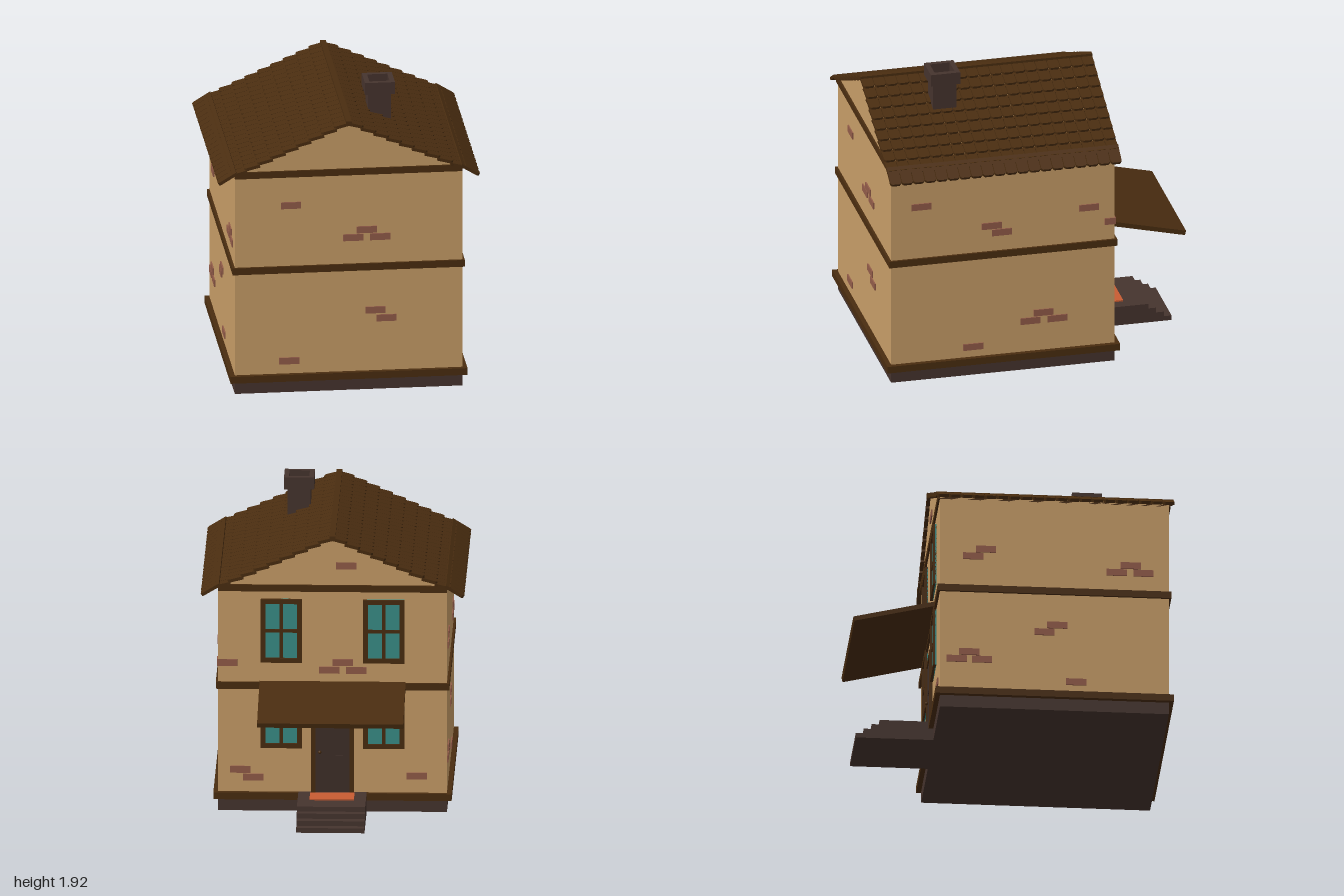
import * as THREE from 'three';

const mat = (name, color) => {
  const m = new THREE.MeshStandardMaterial({ color });
  m.name = name;
  return m;
};

export function createModel() {
  const house = new THREE.Group();
  house.name = 'house';
  const plaster = mat('plaster', 0xc99e68);
  const wood = mat('dark wood', 0x4a2d10);
  const stone = mat('dark stone', 0x46342e);
  const brick = mat('exposed brick', 0x935c49);
  const glass = mat('teal glass', 0x3a8f89);
  const doorPaint = mat('door brown', 0x3f2f29);
  const rug = mat('orange mat', 0xc85c32);

  const add = (name, geo, material, parent = house) => {
    const m = new THREE.Mesh(geo, material);
    m.name = name;
    parent.add(m);
    return m;
  };
  // Box given by its extents along each axis
  const box = (name, material, [x0, x1], [y0, y1], [z0, z1], parent) => {
    const m = add(name, new THREE.BoxGeometry(x1 - x0, y1 - y0, z1 - z0), material, parent);
    m.position.set((x0 + x1) / 2, (y0 + y1) / 2, (z0 + z1) / 2);
    return m;
  };
  const polygon = (pts) => new THREE.Shape(pts.map(([x, y]) => new THREE.Vector2(x, y)));
  const W = 0.72, ZB = -0.475, ZF = 0.97;

  // Foundation, gabled walls and horizontal beams
  box('foundation', stone, [-W, W], [0, 0.09], [ZB, ZF]);
  const walls = new THREE.ExtrudeGeometry(
    polygon([[-W, 0.09], [W, 0.09], [W, 1.46], [0, 1.785], [-W, 1.46]]),
    { depth: ZF - ZB, bevelEnabled: false });
  add('walls', walls, plaster).position.z = ZB;
  box('lowerBeam', wood, [-0.75, 0.75], [0.08, 0.125], [-0.505, 1.0]);
  box('middleBeam', wood, [-0.735, 0.735], [0.8, 0.845], [-0.49, 0.985]);
  box('gableBeam', wood, [-W, W], [1.44, 1.483], [ZB - 0.012, ZF + 0.012]);

  // Roof: rows of overlapping tiles, each row a strip with slits and clipped corners
  const TILES = 20, PITCH = 0.075;
  const tileRow = (length, tilt) => {
    const pts = [[-0.75, -length], [0.75, -length]];
    for (let i = TILES - 1; i >= 0; i--) {
      const a = -0.75 + i * PITCH + 0.002, b = a + PITCH - 0.004;
      pts.push([b, -0.08], [b, -0.012], [b - 0.012, 0], [a + 0.012, 0], [a, -0.012], [a, -0.08]);
    }
    const geo = new THREE.ExtrudeGeometry(polygon(pts), { depth: 0.02, bevelEnabled: false });
    geo.translate(0, 0, -0.02);
    geo.applyMatrix4(new THREE.Matrix4().makeBasis(
      new THREE.Vector3(0, 0, 1), new THREE.Vector3(1, 0, 0), new THREE.Vector3(0, 1, 0)));
    return geo.rotateZ(-tilt);
  };
  const rowGeo = tileRow(0.1, 0.255);
  const eaveGeo = tileRow(0.135, 0.55);
  for (const side of [0, 1]) {
    const slope = new THREE.Group();
    slope.name = side ? 'leftHandRoofSlope' : 'rightHandRoofSlope';
    slope.position.z = 0.25;
    slope.rotation.y = side * Math.PI;
    house.add(slope);
    for (let i = 0; i < 9; i++) {
      const x = 0.095 + i * 0.081;
      add('tileRow', rowGeo, wood, slope).position.set(x, 1.816 - 0.454 * x, 0);
    }
    add('eaveTileRow', eaveGeo, wood, slope).position.set(0.83, 1.423, 0);
  }
  box('ridge', wood, [-0.018, 0.018], [1.78, 1.808], [-0.5, 1.0]);

  // Chimney with a hollow cap
  box('chimneyStack', stone, [0.165, 0.31], [1.6, 1.86], [0.45, 0.6]);
  const capShape = polygon([[-0.095, -0.095], [0.095, -0.095], [0.095, 0.095], [-0.095, 0.095]]);
  capShape.holes.push(polygon([[-0.064, -0.064], [-0.064, 0.064], [0.064, 0.064], [0.064, -0.064]]));
  const cap = add('chimneyCap',
    new THREE.ExtrudeGeometry(capShape, { depth: 0.08, bevelEnabled: false }), stone);
  cap.rotation.x = -Math.PI / 2;
  cap.position.set(0.238, 1.84, 0.525);

  // Back windows: frame bars around a glass plate
  const addWindow = (cx, y0, y1) => {
    const g = new THREE.Group();
    g.name = 'window';
    house.add(g);
    const x0 = cx - 0.13, x1 = cx + 0.13, t = 0.03, z = [ZB - 0.02, ZB];
    box('glass', glass, [x0, x1], [y0, y1], [ZB - 0.008, ZB], g);
    for (const x of [x0, x1 - t]) box('frameSide', wood, [x, x + t], [y0, y1], z, g);
    for (const y of [y0, y1 - t]) box('frameRail', wood, [x0, x1], [y, y + t], z, g);
    const my = (y0 + y1) / 2, bar = [ZB - 0.015, ZB];
    box('mullion', wood, [cx - 0.011, cx + 0.011], [y0, y1], bar, g);
    box('crossBar', wood, [x0, x1], [my - 0.011, my + 0.011], bar, g);
  };
  for (const x of [-0.322, 0.322]) {
    addWindow(x, 0.975, 1.39);
    addWindow(x, 0.415, 0.82);
  }

  // Back door with frame and knob
  box('door', doorPaint, [-0.11, 0.11], [0.125, 0.645], [ZB - 0.01, ZB]);
  for (const x of [-0.135, 0.107]) {
    box('doorPost', wood, [x, x + 0.028], [0.125, 0.67], [ZB - 0.018, ZB]);
  }
  box('doorLintel', wood, [-0.135, 0.135], [0.642, 0.67], [ZB - 0.018, ZB]);
  for (const y of [0.2, 0.43]) {
    box('doorPanel', doorPaint, [-0.065, 0.05], [y, y + 0.17], [ZB - 0.014, ZB]);
  }
  add('doorKnob', new THREE.SphereGeometry(0.011, 10, 8), wood).position.set(0.08, 0.39, ZB - 0.018);

  // Porch awning, steps and mat
  const awning = add('awning', new THREE.BoxGeometry(0.92, 0.03, 0.54), wood);
  awning.position.set(0, 0.773, -0.734);
  awning.rotation.x = -0.235;
  [[0.127, -0.815], [0.096, -0.865], [0.063, -0.915], [0.031, -0.965]].forEach(([y, z]) =>
    box('porchStep', stone, [-0.215, 0.215], [0, y], [z, ZB]));
  box('doorMat', rug, [-0.14, 0.14], [0.127, 0.136], [-0.67, -0.525]);

  // Exposed bricks: [position along the wall, height]
  const frontBricks = [[-0.365, 1.25], [0.115, 1.07], [0.03, 1.02], [0.2, 1.02],
    [0.17, 0.53], [0.24, 0.475], [-0.375, 0.21]];
  const backBricks = [[-0.087, 1.61], [0.02, 0.925], [-0.15, 0.925], [-0.065, 0.975],
    [0.58, 0.27], [0.5, 0.22], [-0.53, 0.235]];
  const plusXBricks = [[0.775, 1.2], [0.32, 1.02], [0.255, 0.97], [-0.31, 1.08],
    [-0.015, 0.385], [0.07, 0.335], [-0.105, 0.335], [0.44, 0.195]];
  const minusXBricks = [[-0.265, 1.05], [-0.185, 1.1], [0.64, 0.97], [0.81, 0.97], [0.73, 1.02],
    [0.185, 0.54], [0.265, 0.59], [-0.37, 0.335], [-0.21, 0.335], [-0.29, 0.385], [0.385, 0.2]];
  const L = 0.064, H = 0.022, P = 0.008;
  const alongX = (list, z) => list.forEach(([x, y]) =>
    box('brick', brick, [x - L, x + L], [y - H, y + H], [z - P, z + P]));
  const alongZ = (list, x) => list.forEach(([z, y]) =>
    box('brick', brick, [x - P, x + P], [y - H, y + H], [z - L, z + L]));
  alongX(frontBricks, ZF);
  alongX(backBricks, ZB);
  alongZ(plusXBricks, W);
  alongZ(minusXBricks, -W);
  box('cornerBrick', brick, [0.6, W + P], [0.948, 0.992], [ZB - P, -0.41]);

  return house;
}
